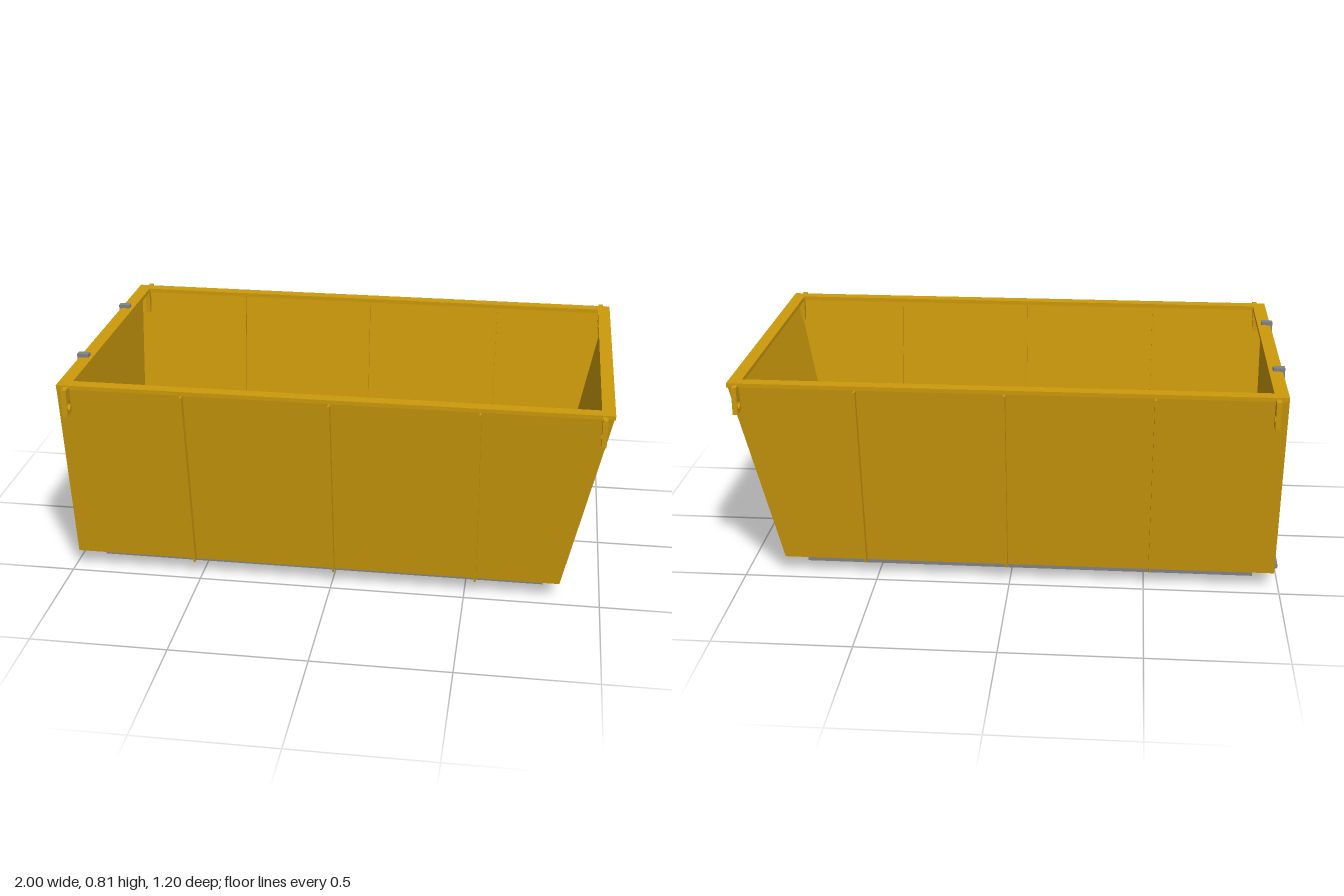
import * as THREE from 'three';

const yellow = new THREE.MeshStandardMaterial({ color: 0xcc9a0c });
yellow.name = 'yellowPaint';
const steel = new THREE.MeshStandardMaterial({ color: 0x828388 });
steel.name = 'greySteel';

// Rectangle of four corners, counter-clockwise seen from above
const ring = (x0, x1, z, y) => [[x0, y, z], [x1, y, z], [x1, y, -z], [x0, y, -z]];

// Skin a stack of rings and close both ends
function skin(rings) {
  const pos = [];
  const quad = (a, b, c, d) => pos.push(...a, ...b, ...c, ...a, ...c, ...d);
  for (let r = 0; r < rings.length - 1; r++) {
    for (let i = 0; i < 4; i++) {
      const j = (i + 1) % 4;
      quad(rings[r][i], rings[r][j], rings[r + 1][j], rings[r + 1][i]);
    }
  }
  const first = rings[0], last = rings[rings.length - 1];
  quad(first[3], first[2], first[1], first[0]);
  quad(...last);
  const g = new THREE.BufferGeometry();
  g.setAttribute('position', new THREE.Float32BufferAttribute(pos, 3));
  g.computeVertexNormals();
  return g;
}

function polygon(points) {
  return new THREE.Shape(points.map(([x, y]) => new THREE.Vector2(x, y)));
}

// Plate drawn in (z, y), with its thickness centred on x = 0
function sidePlate(shape, thickness) {
  const g = new THREE.ExtrudeGeometry(shape, { depth: thickness, bevelEnabled: false, curveSegments: 10 });
  return g.translate(0, 0, -thickness / 2).rotateY(-Math.PI / 2);
}

export function createModel() {
  const group = new THREE.Group();
  const add = (name, geometry, material, x = 0, y = 0, z = 0) => {
    const m = new THREE.Mesh(geometry, material);
    m.name = name;
    m.position.set(x, y, z);
    group.add(m);
    return m;
  };
  // Box given by its limits on each axis
  const box = (name, material, x0, x1, y0, y1, z0, z1) =>
    add(name, new THREE.BoxGeometry(x1 - x0, y1 - y0, z1 - z0), material,
      (x0 + x1) / 2, (y0 + y1) / 2, (z0 + z1) / 2);

  // Open tub: outside up, over the edge, inside down to the floor
  add('tub', skin([
    ring(-0.98, 0.85, 0.472, 0.07),
    ring(-0.98, 0.997, 0.563, 0.785),
    ring(-0.97, 0.987, 0.553, 0.785),
    ring(-0.97, 0.842, 0.463, 0.08),
  ]), yellow);

  // Flat rim around the opening
  const rim = polygon([[-0.98, -0.566], [1, -0.566], [1, 0.566], [-0.98, 0.566]]);
  rim.holes.push(polygon([[-0.93, -0.52], [-0.93, 0.52], [0.953, 0.52], [0.953, -0.52]]));
  add('rim', new THREE.ExtrudeGeometry(rim, { depth: 0.015, bevelEnabled: false })
    .rotateX(-Math.PI / 2), yellow, 0, 0.78, 0);

  // Side ribs and lifting lugs, passing through the long walls
  const rib = sidePlate(polygon([[0.452, 0.07], [0.5, 0.07], [0.588, 0.78], [0.54, 0.78]]), 0.007);
  const lugShape = polygon([[0.525, 0.688], [0.6, 0.688], [0.6, 0.79], [0.525, 0.79]]);
  lugShape.holes.push(new THREE.Path().absarc(0.577, 0.722, 0.016, 0, Math.PI * 2, true));
  const lug = sidePlate(lugShape, 0.018);
  for (const turn of [0, Math.PI]) {
    const s = turn ? -1 : 1;
    for (const x of [-0.52, 0.01, 0.54]) add('sideRib', rib, yellow, x).rotation.y = turn;
    for (const x of [-0.942, 0.965]) add('liftingLug', lug, yellow, x).rotation.y = turn;

    // Skid runner
    box('skidRunner', steel, -0.91, 0.79, 0, 0.07, s * 0.333 - 0.029, s * 0.333 + 0.029);

    // Tailgate strap with a hook over the rim
    const z = s * 0.278;
    box('tailgateStrap', steel, -0.988, -0.979, 0.4, 0.808, z - 0.013, z + 0.013);
    box('strapHook', steel, -0.988, -0.945, 0.795, 0.808, z - 0.013, z + 0.013);
  }

  // Cross members between the runners
  for (const x of [-0.82, 0.71]) box('crossMember', steel, x - 0.025, x + 0.025, 0.03, 0.07, -0.305, 0.305);

  // Hinge under the tailgate: pin, knuckles and leaves
  add('hingePin', new THREE.CylinderGeometry(0.007, 0.007, 0.81, 12).rotateX(Math.PI / 2), steel, -0.988, 0.063, 0);
  for (let i = -2; i <= 2; i++) {
    add('hingeKnuckle', new THREE.CylinderGeometry(0.012, 0.012, 0.145, 12).rotateX(Math.PI / 2),
      steel, -0.988, 0.063, i * 0.163);
    box('hingeLeaf', steel, -0.985, -0.93, 0.053, 0.069, i * 0.163 - 0.07, i * 0.163 + 0.07);
  }
  return group;
}
